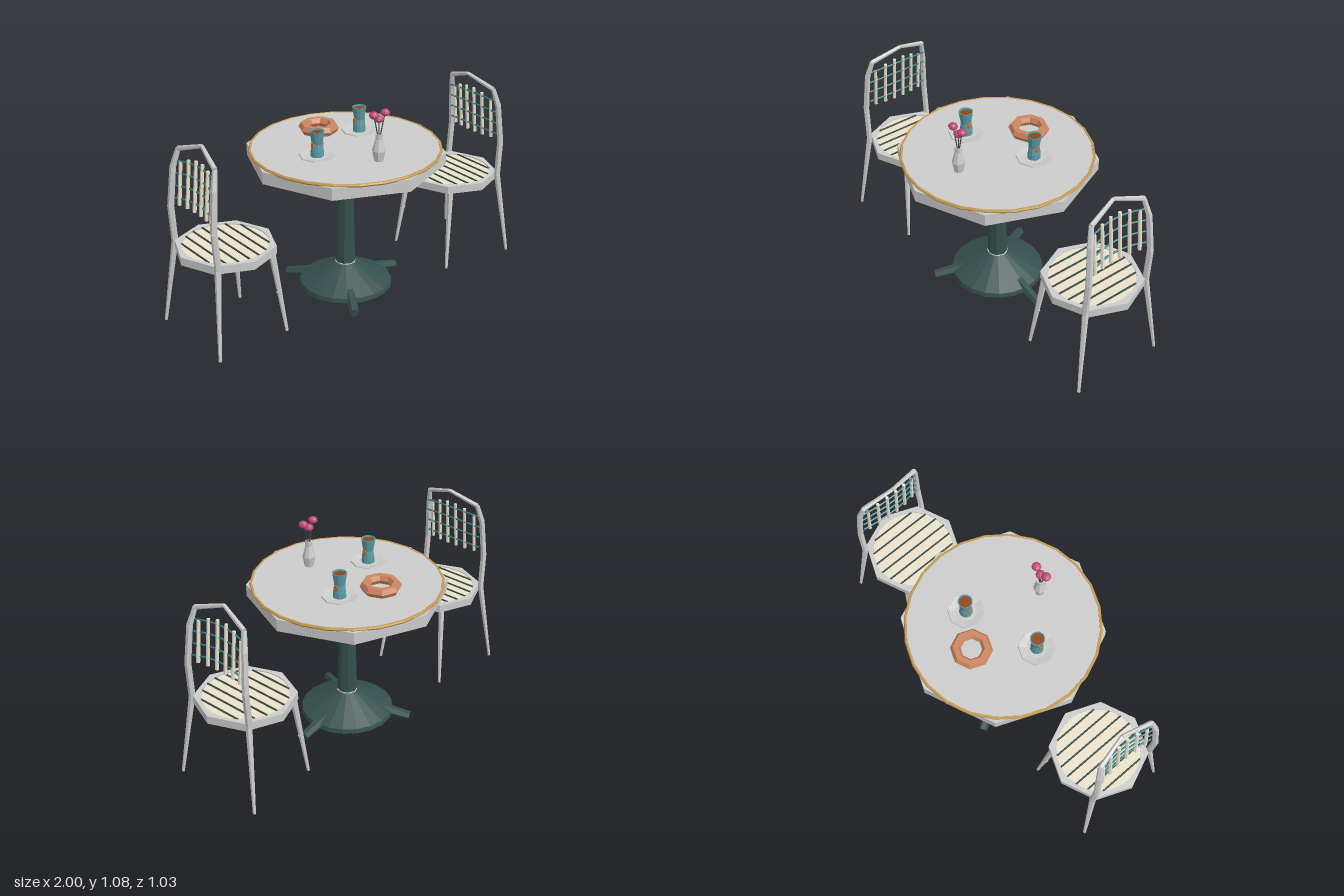
import * as THREE from 'three';

const mat = (color, double = false) => new THREE.MeshStandardMaterial({
  color, flatShading: true, side: double ? THREE.DoubleSide : THREE.FrontSide });
const grey = mat(0xcccccc), green = mat(0x35504d), gold = mat(0xc29a52), cream = mat(0xe9e1ca),
  teal = mat(0x2f7f86), cupTeal = mat(0x5a9ca6, true), coffee = mat(0x8a4717), bun = mat(0xcc8560),
  pink = mat(0xc24a78), dark = mat(0x3a4a42), orange = mat(0xc07a3c);
const V = (x, y, z) => new THREE.Vector3(x, y, z);

function add(parent, name, geometry, material, x = 0, y = 0, z = 0) {
  const mesh = new THREE.Mesh(geometry, material);
  mesh.name = name;
  mesh.position.set(x, y, z);
  parent.add(mesh);
  return mesh;
}

const lathe = (pts, sides) => new THREE.LatheGeometry(pts.map(p => new THREE.Vector2(...p)), sides);

// Tapered rod between two points
function rod(parent, name, a, b, ra, rb, material, sides = 6) {
  const dir = b.clone().sub(a);
  const mesh = add(parent, name, new THREE.CylinderGeometry(rb, ra, dir.length(), sides), material);
  mesh.position.copy(a).add(b).multiplyScalar(0.5);
  mesh.quaternion.setFromUnitVectors(V(0, 1, 0), dir.normalize());
  return mesh;
}

function createTable() {
  const table = new THREE.Group();
  table.name = 'table';
  // Octagonal apron with a round top and edge trim
  add(table, 'tableApron', new THREE.CylinderGeometry(0.517, 0.517, 0.065, 8), grey, 0, 0.786, 0);
  add(table, 'tableTop', new THREE.CylinderGeometry(0.49, 0.49, 0.024, 32), grey, 0, 0.816, 0);
  const trim = add(table, 'tableTrim', new THREE.TorusGeometry(0.492, 0.009, 6, 24), gold, 0, 0.822, 0);
  trim.rotation.x = Math.PI / 2;
  // Column flaring out under the top
  add(table, 'column', lathe([[0.053, 0.16], [0.04, 0.65], [0.08, 0.72], [0.2, 0.742], [0.2, 0.756]], 8), green);
  add(table, 'columnFlange', new THREE.CylinderGeometry(0.2, 0.2, 0.014, 20), green, 0, 0.748, 0);
  add(table, 'columnCollar', new THREE.CylinderGeometry(0.055, 0.055, 0.006, 12), grey, 0, 0.166, 0);
  // Conical foot
  add(table, 'base', lathe([[0, 0.022], [0.225, 0.022], [0.25, 0.04], [0.245, 0.064], [0.055, 0.165], [0, 0.165]], 20), green);
  for (let i = 0; i < 3; i++) {
    const arm = new THREE.Group();
    arm.name = 'baseFoot';
    arm.rotation.y = i * Math.PI * 2 / 3;
    const toe = add(arm, 'toe', new THREE.CylinderGeometry(0.024, 0.034, 0.26, 6), green, 0.215, 0.06, 0);
    toe.rotation.z = -Math.PI / 2 - 0.22;
    table.add(arm);
  }
  return table;
}

// Chair facing -x, origin under the seat centre
function createChair() {
  const chair = new THREE.Group();
  chair.name = 'chair';
  // Octagonal seat ring with a round opening
  const outline = new THREE.Shape(Array.from({ length: 8 }, (_, i) =>
    new THREE.Vector2(0.255 * Math.cos(i * Math.PI / 4), 0.255 * Math.sin(i * Math.PI / 4))));
  outline.holes.push(new THREE.Path().absarc(0, 0, 0.216, 0, Math.PI * 2, true));
  const ring = new THREE.ExtrudeGeometry(outline, { depth: 0.042, bevelEnabled: false, curveSegments: 12 });
  add(chair, 'seatRing', ring.rotateX(-Math.PI / 2), grey, 0, 0.46, 0);
  add(chair, 'seatPanel', new THREE.CylinderGeometry(0.218, 0.218, 0.012, 24), cream, 0, 0.491, 0);
  for (let i = -3; i <= 3; i++) {
    const x = i * 0.058, half = Math.sqrt(0.216 ** 2 - x * x);
    rod(chair, 'seatCord', V(x, 0.5, -half), V(x, 0.5, half), 0.005, 0.005, dark, 5);
  }
  // Legs and the uprights of the back frame, mirrored
  for (const s of [-1, 1]) {
    rod(chair, 'frontLeg', V(-0.205, 0.03, s * 0.215), V(-0.155, 0.475, s * 0.17), 0.008, 0.018, grey);
    rod(chair, 'backLeg', V(0.218, 0.03, s * 0.255), V(0.17, 0.5, s * 0.195), 0.008, 0.017, grey);
    add(chair, 'legPeg', new THREE.IcosahedronGeometry(0.011), grey, -0.175, 0.25, s * 0.19);
    const path = [V(0.17, 0.49, s * 0.198), V(0.182, 0.68, s * 0.196), V(0.163, 0.89, s * 0.184),
      V(0.14, 0.985, s * 0.163), V(0.105, 1.04, 0)];
    const radii = [0.017, 0.017, 0.016, 0.013, 0.01];
    for (let i = 0; i < 4; i++) rod(chair, 'backFrame', path[i], path[i + 1], radii[i], radii[i + 1], grey);
  }
  // Woven back: upright slats crossed by bowed wires
  const backX = (y, z) => 0.172 - 0.09 * (y - 0.7) - 0.025 * (1 - (z / 0.18) ** 2);
  for (let i = 0; i < 6; i++) {
    const z = (i - 2.5) * 0.057, top = 0.962 - 1.9 * z * z;
    rod(chair, 'backSlat', V(backX(0.7, z), 0.7, z), V(backX(top, z), top, z), 0.01, 0.009, cream);
  }
  for (let i = 0; i < 4; i++) {
    const y = 0.735 + i * 0.064;
    const pts = [-0.178, -0.09, 0, 0.09, 0.178].map(z => V(backX(y, z) - 0.004, y + 0.008 - 0.5 * z * z, z));
    add(chair, 'backWire', new THREE.TubeGeometry(new THREE.CatmullRomCurve3(pts), 8, 0.005, 5), teal);
  }
  return chair;
}

function createCup(x, z) {
  const cup = new THREE.Group();
  cup.name = 'cupAndSaucer';
  cup.position.set(x, 0.828, z);
  add(cup, 'saucer', lathe([[0, 0], [0.055, 0], [0.094, 0.012], [0.092, 0.018], [0.055, 0.01], [0, 0.01]], 8), grey);
  add(cup, 'cup', lathe([[0, 0.01], [0.034, 0.012], [0.033, 0.04], [0.027, 0.08], [0.038, 0.145], [0.033, 0.145], [0.029, 0.12]], 12), cupTeal);
  add(cup, 'coffee', new THREE.CylinderGeometry(0.032, 0.03, 0.006, 12), coffee, 0, 0.134, 0);
  for (const s of [-1, 1]) add(cup, 'cupPatch', new THREE.BoxGeometry(0.008, 0.028, 0.02), orange, s * 0.028, 0.07, 0);
  return cup;
}

function createVase() {
  const vase = new THREE.Group();
  vase.name = 'flowerVase';
  vase.position.set(0.012, 0.828, 0.255);
  add(vase, 'vase', lathe([[0, 0], [0.024, 0], [0.034, 0.055], [0.018, 0.115], [0.019, 0.142], [0.012, 0.142], [0.01, 0.1]], 8), mat(0xcccccc, true));
  for (const [x, y, z] of [[-0.036, 0.248, 0.002], [0.036, 0.248, 0.002], [0, 0.22, -0.002]]) {
    rod(vase, 'stem', V(0, 0.1, 0), V(x, y, z), 0.003, 0.003, dark, 5);
    const bloom = add(vase, 'bloom', new THREE.SphereGeometry(0.025, 8, 6), pink, x, y, z);
    bloom.scale.y = 0.75;
  }
  return vase;
}

export function createModel() {
  const model = new THREE.Group();
  model.name = 'cafeTableSet';
  model.add(createTable());
  for (const s of [-1, 1]) {
    const chair = createChair();
    chair.position.x = s * 0.745;
    if (s < 0) chair.rotation.y = Math.PI;
    model.add(chair);
  }
  model.add(createCup(-0.21, 0.04), createCup(0.17, -0.1), createVase());
  // Ring-shaped pastry
  const pastry = add(model, 'ringPastry', new THREE.TorusGeometry(0.08, 0.027, 6, 8), bun, -0.01, 0.868, -0.215);
  pastry.rotation.x = Math.PI / 2;
  return model;
}
